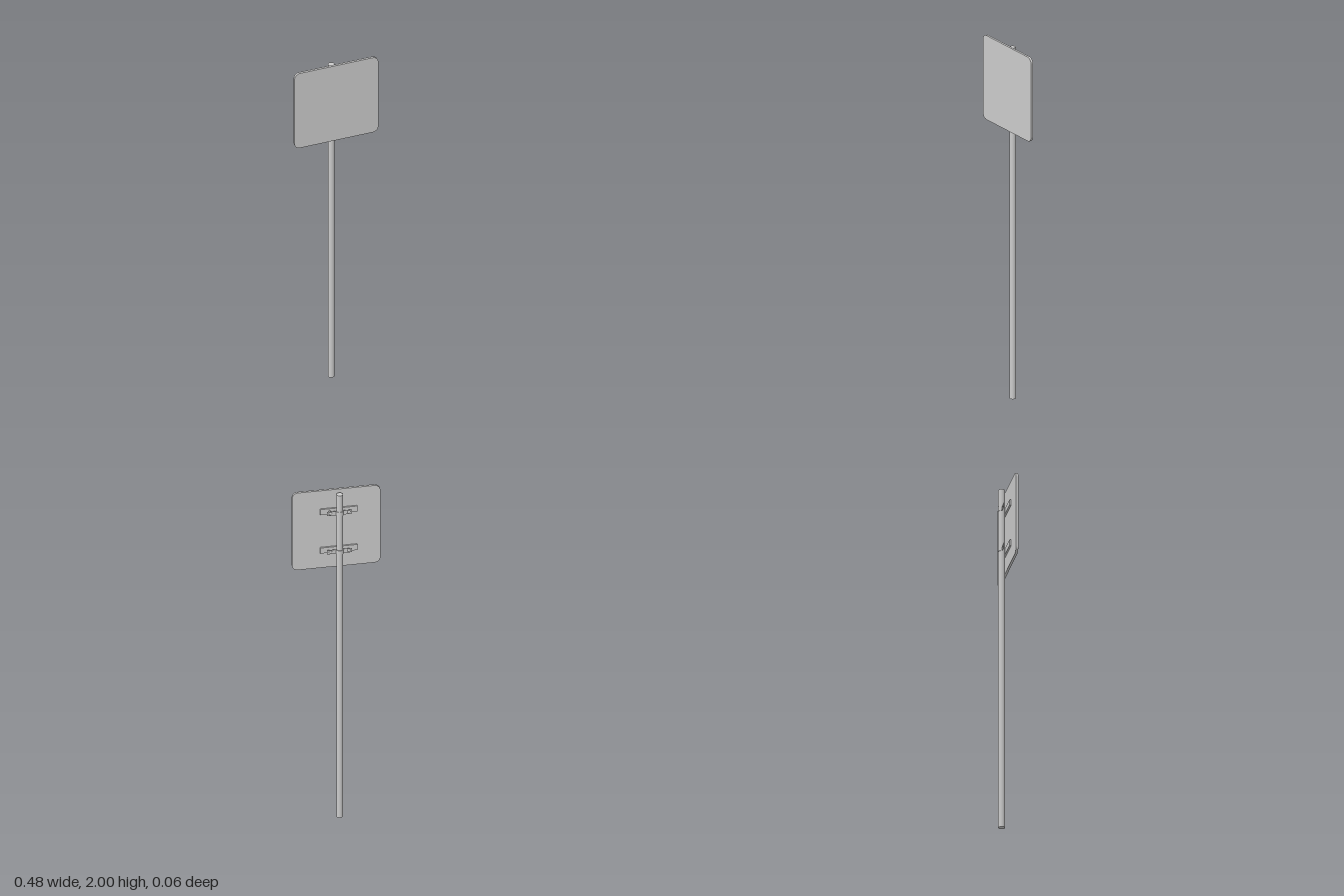
import * as THREE from 'three';

const POLE_X = -0.0125, POLE_Z = -0.013, POLE_R = 0.018;

export function createModel() {
  const model = new THREE.Group();
  const grey = new THREE.MeshStandardMaterial({ color: 0xcccccc });
  const add = (parent, name, geometry, x, y, z) => {
    const mesh = new THREE.Mesh(geometry, grey);
    mesh.name = name;
    mesh.position.set(x, y, z);
    parent.add(mesh);
    return mesh;
  };

  // Round post
  add(model, 'post', new THREE.CylinderGeometry(POLE_R, POLE_R, 1.985, 32), POLE_X, 0.9925, POLE_Z);

  // Sign plate with rounded corners
  const w = 0.24, h = 0.2375, r = 0.032;
  const plate = new THREE.Shape();
  plate.absarc(w - r, h - r, r, 0, Math.PI / 2);
  plate.absarc(-w + r, h - r, r, Math.PI / 2, Math.PI);
  plate.absarc(-w + r, -h + r, r, Math.PI, Math.PI * 1.5);
  plate.absarc(w - r, -h + r, r, Math.PI * 1.5, Math.PI * 2);
  plate.closePath();
  add(model, 'signPlate', new THREE.ExtrudeGeometry(plate, { depth: 0.013, bevelEnabled: false, curveSegments: 8 }),
    0, 2 - h, 0.018);

  // Clamp strap outline seen from above: two flat ears and a half ring round the post
  const strap = new THREE.Shape();
  const ear = 0.068, t = 0.002, outer = 0.0205;
  const spring = Math.asin(t / outer);
  strap.moveTo(ear, 0);
  strap.lineTo(ear, t);
  strap.absarc(0, 0, outer, spring, Math.PI - spring, false);
  strap.lineTo(-ear, t);
  strap.lineTo(-ear, 0);
  strap.absarc(0, 0, POLE_R, Math.PI, 0, true);
  strap.closePath();
  const strapHeight = 0.025;
  const strapGeo = new THREE.ExtrudeGeometry(strap, { depth: strapHeight, bevelEnabled: false, curveSegments: 20 });
  strapGeo.rotateX(-Math.PI / 2).translate(0, -strapHeight / 2, 0);

  // Domed bolt head facing backwards
  const headGeo = new THREE.SphereGeometry(0.009, 16, 6, 0, Math.PI * 2, 0, Math.PI / 2);
  headGeo.scale(1, 0.6, 1).rotateX(-Math.PI / 2);
  const shankGeo = new THREE.CylinderGeometry(0.006, 0.006, 0.024, 16).rotateX(Math.PI / 2);

  // Two mounting brackets, each a rail behind the plate and a bolted clamp
  [['upper', 1.872], ['lower', 1.635]].forEach(([level, y]) => {
    const bracket = new THREE.Group();
    bracket.name = level + 'Bracket';
    bracket.position.y = y;
    model.add(bracket);
    add(bracket, 'rail', new THREE.BoxGeometry(0.202, 0.034, 0.009), POLE_X, 0, 0.0135);
    add(bracket, 'clampStrap', strapGeo, POLE_X, 0, POLE_Z);
    for (const side of [-1, 1]) {
      add(bracket, 'boltHead', headGeo, POLE_X + side * 0.05, 0, POLE_Z - t);
    }
    // Only the upper left bolt reaches through to the rail
    if (level === 'upper') add(bracket, 'boltShank', shankGeo, POLE_X + 0.05, 0, -0.002);
  });

  return model;
}
